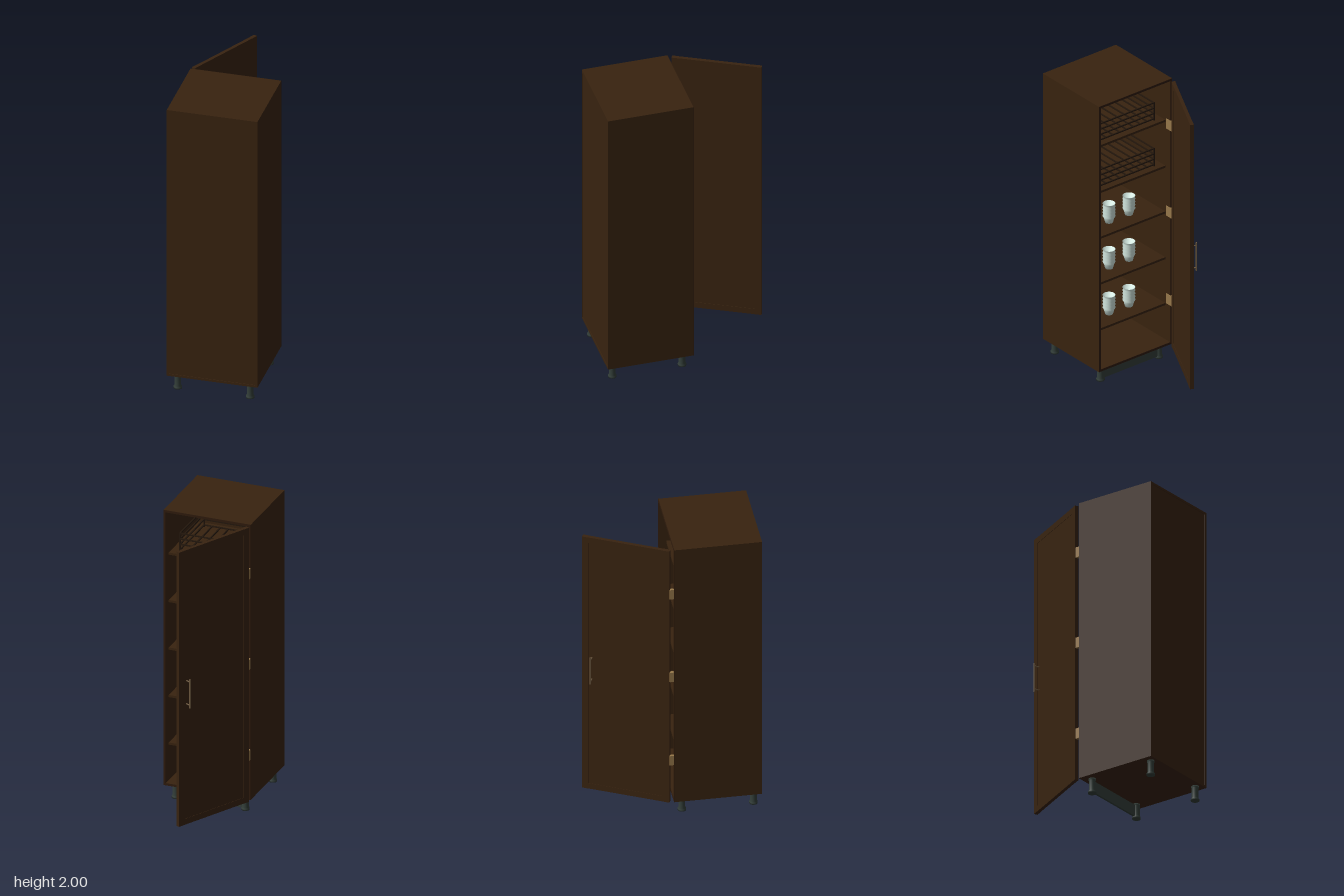
import * as THREE from 'three';

export function createModel() {
  const model = new THREE.Group();
  const mat = (name, color) => {
    const m = new THREE.MeshStandardMaterial({ color });
    m.name = name;
    return m;
  };
  const wood = mat('dark walnut', 0x38230f);
  const trim = mat('walnut edging', 0x2f1b0c);
  const doorWood = mat('door walnut', 0x382310);
  const wire = mat('dark wire', 0x24170c);
  const brass = mat('brass hinge', 0x97784a);
  const bronze = mat('bronze handle', 0x6f5a40);
  const grey = mat('leg grey', 0x333e39);
  const china = mat('pale china', 0xd6ebe3);

  const add = (parent, name, geo, m, x = 0, y = 0, z = 0) => {
    const mesh = new THREE.Mesh(geo, m);
    mesh.name = name;
    mesh.position.set(x, y, z);
    parent.add(mesh);
    return mesh;
  };
  // Box given by its min and max corners
  const box = (parent, name, m, a, b) => add(parent, name,
    new THREE.BoxGeometry(b[0] - a[0], b[1] - a[1], b[2] - a[2]), m,
    (a[0] + b[0]) / 2, (a[1] + b[1]) / 2, (a[2] + b[2]) / 2);

  // Carcass, open towards -z
  const W = 0.295, T = 0.015, Z0 = -0.01, Z1 = 0.55;
  const carcass = new THREE.Group();
  carcass.name = 'carcass';
  model.add(carcass);
  box(carcass, 'topPanel', wood, [-W, 2 - T, Z0 + 0.003], [W, 2, Z1]);
  box(carcass, 'bottomPanel', wood, [-W, 0.1, Z0 + 0.003], [W, 0.1 + T, Z1]);
  for (const s of [-1, 1]) {
    const x = s * (W - T / 2);
    box(carcass, 'sidePanel', wood, [x - T / 2, 0.1 + T, Z0 + 0.003], [x + T / 2, 2 - T, Z1]);
    box(carcass, 'sideEdging', trim, [x - T / 2, 0.1 + T, Z0], [x + T / 2, 2 - T, Z0 + 0.003]);
  }
  for (const y of [0.1, 2 - T]) box(carcass, 'edging', trim, [-W, y, Z0], [W, y + T, Z0 + 0.003]);
  box(carcass, 'closedPanel', wood, [-W + T, 0.1 + T, Z1 - 0.014], [W - T, 2 - T, Z1 - 0.004]);

  // Shelves with wire baskets on the upper two and bowls on the lower three
  const addBasket = (y0) => {
    const g = new THREE.Group();
    g.name = 'wireBasket';
    model.add(g);
    const r = 0.004, hx = 0.22, za = 0.08, zb = 0.48, h = 0.13;
    for (let i = 0; i < 4; i++) {
      const y = y0 + 0.012 + i * (h - 0.016) / 3;
      for (const z of [za, zb]) box(g, 'basketRail', wire, [-hx, y - r, z - r], [hx, y + r, z + r]);
      for (const x of [-hx, hx]) box(g, 'basketRail', wire, [x - r, y - r, za], [x + r, y + r, zb]);
    }
    for (const x of [-hx, hx]) for (const z of [za, zb])
      box(g, 'basketPost', wire, [x - r, y0, z - r], [x + r, y0 + h, z + r]);
    for (let i = 1; i < 8; i++) {
      const x = -hx + i * hx / 4;
      box(g, 'basketFloorBar', wire, [x - r, y0 + 0.008, za], [x + r, y0 + 0.016, zb]);
    }
  };
  // Stack of nested bowls as one turned profile
  const profile = [new THREE.Vector2(0, 0), new THREE.Vector2(0.025, 0)];
  for (let i = 0; i < 5; i++) {
    profile.push(new THREE.Vector2(0.033, 0.03 + i * 0.022), new THREE.Vector2(0.041, 0.046 + i * 0.022));
  }
  profile.push(new THREE.Vector2(0.038, 0.135), new THREE.Vector2(0.026, 0.118), new THREE.Vector2(0, 0.112));
  const bowls = new THREE.LatheGeometry(profile, 24);
  for (let i = 0; i < 5; i++) {
    const y = 0.36 + i * 0.328;
    box(model, 'shelf', wood, [-W + T, y, 0.04], [W - T, y + T, Z1 - 0.014]);
    if (i > 2) addBasket(y + T);
    else for (const x of [-0.08, 0.08]) add(model, 'bowlStack', bowls, china, x, y + T, 0.156);
  }

  // Legs and plinth
  const leg = new THREE.LatheGeometry(
    [[0, 0], [0.027, 0], [0.027, 0.012], [0.021, 0.02], [0.021, 0.088], [0.024, 0.09], [0.024, 0.1], [0, 0.1]]
      .map(([x, y]) => new THREE.Vector2(x, y)), 20);
  for (const x of [-0.235, 0.235]) for (const z of [0.05, 0.505]) add(model, 'leg', leg, grey, x, 0, z);
  box(model, 'plinth', grey, [-0.225, 0.013, 0.04], [0.225, 0.09, 0.054]);

  // Hinges
  for (const y of [0.415, 1.043, 1.667]) {
    box(model, 'hinge', brass, [-0.295, y - 0.035, -0.037], [-0.276, y + 0.035, -0.01]);
    box(model, 'hingePlate', brass, [-0.28, y - 0.035, -0.012], [-0.276, y + 0.035, 0.03]);
  }

  // Framed door swung open; its outer face is local -z
  const door = new THREE.Group();
  door.name = 'door';
  door.position.set(-0.284, 0, -0.034);
  door.rotation.y = 1.095;
  model.add(door);
  const L = 0.575, yb = 0.1, yt = 1.993, f = 0.045, t = 0.0125;
  box(door, 'doorPanel', doorWood, [f, yb + 0.04, -0.009], [L - f, yt - 0.04, 0.009]);
  for (const x of [0, L - f]) box(door, 'doorStile', doorWood, [x, yb, -t], [x + f, yt, t]);
  for (const y of [yb, yt - 0.04]) box(door, 'doorRail', doorWood, [f, y, -t + 0.001], [L - f, y + 0.04, t - 0.001]);

  // Bar handle
  add(door, 'handleBar', new THREE.CylinderGeometry(0.005, 0.005, 0.2, 12), bronze, 0.51, 1.01, -0.042);
  for (const y of [0.93, 1.09]) {
    const post = add(door, 'handlePost', new THREE.CylinderGeometry(0.004, 0.004, 0.034, 10), bronze, 0.51, y, -0.025);
    post.rotation.x = Math.PI / 2;
  }
  return model;
}
